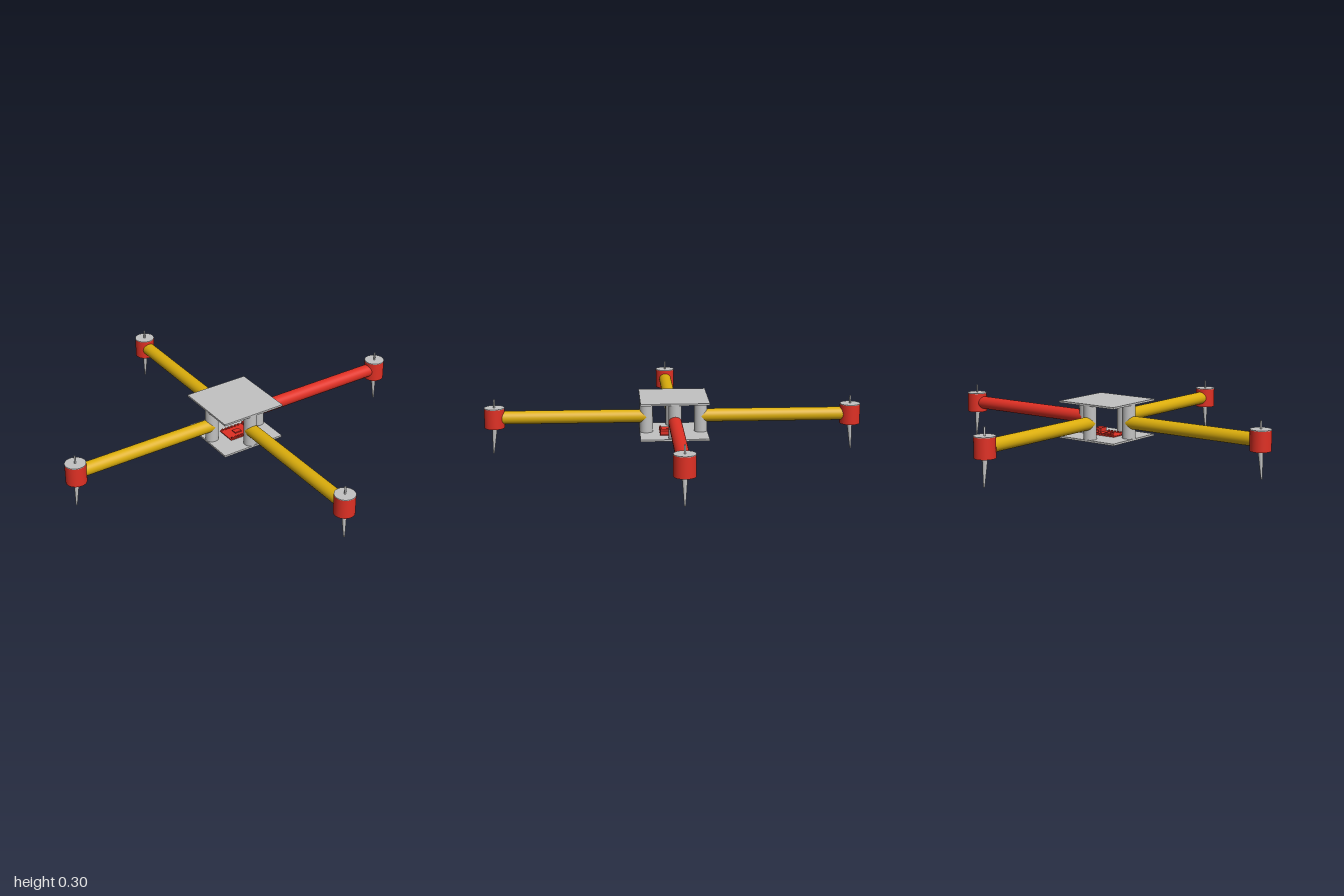
import * as THREE from 'three';

const material = (name, color) => {
  const m = new THREE.MeshStandardMaterial({ color });
  m.name = name;
  return m;
};

export function createModel() {
  const grey = material('light grey', 0xc2c2c2);
  const red = material('red', 0xe03024);
  const yellow = material('yellow', 0xdcae0c);

  const add = (parent, name, geometry, mat, x = 0, y = 0, z = 0) => {
    const mesh = new THREE.Mesh(geometry, mat);
    mesh.name = name;
    mesh.position.set(x, y, z);
    parent.add(mesh);
    return mesh;
  };
  const cyl = (top, bottom, h, sides = 32) => new THREE.CylinderGeometry(top, bottom, h, sides);
  const box = (w, h, d) => new THREE.BoxGeometry(w, h, d);

  const model = new THREE.Group();
  model.name = 'quadcopter';

  // Square body plates
  add(model, 'bottomPlate', box(0.36, 0.01, 0.36), grey, 0, 0.105, 0);
  add(model, 'topPlate', box(0.36, 0.01, 0.36), grey, 0, 0.295, 0);

  // Four arms, each with a post, motor, shaft and leg; the +x arm is red
  for (let i = 0; i < 4; i++) {
    const arm = new THREE.Group();
    arm.name = 'armAssembly' + (i + 1);
    arm.rotation.y = i * Math.PI / 2;
    model.add(arm);

    add(arm, 'post', cyl(0.035, 0.035, 0.18), grey, 0.145, 0.2, 0);
    const tube = add(arm, 'armTube', cyl(0.035, 0.035, 0.8), i === 0 ? red : yellow, 0.545, 0.195, 0);
    tube.rotation.z = Math.PI / 2;

    add(arm, 'motor', cyl(0.054, 0.054, 0.104), red, 0.946, 0.194, 0);
    add(arm, 'motorCap', cyl(0.054, 0.054, 0.004), grey, 0.946, 0.248, 0);
    add(arm, 'shaft', cyl(0.005, 0.005, 0.045, 16), grey, 0.946, 0.27, 0);

    // Tapered leg leaning slightly outward
    const leg = add(arm, 'leg', cyl(0.014, 0.004, 0.145, 20), grey, 0.951, 0.0728, 0);
    leg.rotation.z = 0.07;
  }

  // Control board on the bottom plate
  const board = new THREE.Group();
  board.name = 'controlBoard';
  model.add(board);
  add(board, 'circuitBoard', box(0.165, 0.005, 0.11), red, 0.01, 0.1125, 0.02);
  add(board, 'connectorBlock', box(0.042, 0.022, 0.05), red, 0.08, 0.126, 0.048);
  add(board, 'smallConnector', box(0.035, 0.014, 0.035), red, 0.08, 0.122, -0.012);
  add(board, 'chip', box(0.04, 0.006, 0.03), red, 0, 0.118, 0.02);
  for (let k = 0; k < 6; k++) {
    for (const z of [-0.028, 0.068]) {
      add(board, 'pinHeader', box(0.01, 0.008, 0.008), red, -0.06 + k * 0.02, 0.119, z);
    }
  }
  return model;
}
